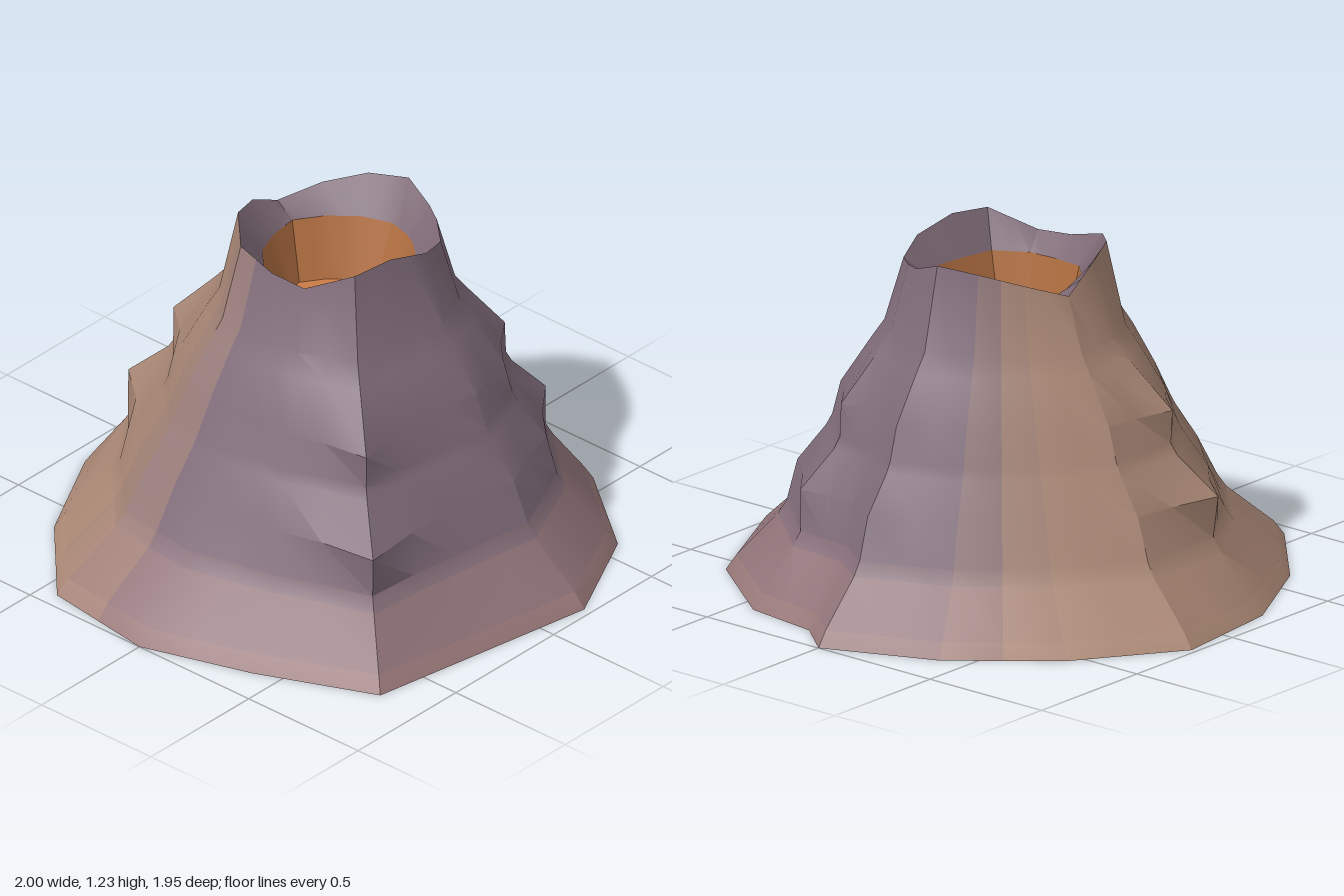
import * as THREE from 'three';
import { toCreasedNormals } from 'three/addons/utils/BufferGeometryUtils.js';

const { lerp, smoothstep } = THREE.MathUtils;

// Main ridge lines: base x, z; rim x, z, y; ledge strength 0..1
const RIDGES = [
  [1.0, 0.0, 0.40, -0.02, 1.225, 0.3],
  [0.88, 0.145, 0.37, 0.10, 1.18, 0.3],
  [0.84, 0.43, 0.33, 0.17, 1.17, 0.8],
  [0.58, 0.775, 0.25, 0.26, 1.155, 0.35],
  [0.19, 0.97, 0.12, 0.31, 1.19, 0.15],
  [-0.22, 0.90, -0.04, 0.29, 1.23, 0.3],
  [-0.685, 0.82, -0.19, 0.26, 1.22, 0.9],
  [-0.87, 0.40, -0.28, 0.11, 1.15, 0.3],
  [-1.0, 0.0, -0.29, -0.03, 1.16, 0],
  [-0.94, -0.43, -0.28, -0.18, 1.20, 0],
  [-0.62, -0.73, -0.16, -0.30, 1.23, 0.15],
  [-0.24, -0.93, -0.03, -0.35, 1.20, 1],
  [0.19, -0.98, 0.12, -0.37, 1.12, 0.2],
  [0.555, -0.73, 0.25, -0.28, 1.17, 0],
  [0.83, -0.40, 0.35, -0.16, 1.21, 0.1],
];
// A weaker column halfway between neighbours keeps the ledges local to the ridges
const COLUMNS = RIDGES.flatMap((ridge, i) => {
  const next = RIDGES[(i + 1) % RIDGES.length];
  const middle = ridge.map((v, k) => (v + next[k]) / 2);
  middle[5] *= 0.8;
  return [ridge, middle];
});
// Slope profile: height, inward fraction when smooth, inward fraction when ledged
const PROFILE = [
  [0, 0, 0], [0.055, 0.06, 0.06], [0.21, 0.32, 0.24], [0.26, 0.37, 0.29],
  [0.41, 0.48, 0.26], [0.54, 0.60, 0.50], [0.58, 0.63, 0.54], [0.70, 0.71, 0.53],
  [0.86, 0.835, 0.78], [0.93, 0.90, 0.88],
];
const N = COLUMNS.length;

function slopePoint([bx, bz, rx, rz, rimY, ledge], row) {
  if (row === PROFILE.length) return [rx, rimY, rz];
  const [y, smooth, ledged] = PROFILE[row];
  const f = lerp(smooth, ledged, ledge);
  return [lerp(bx, rx, f), y, lerp(bz, rz, f)];
}

// Ring inside the crater: the rim shrunk about its centre, then shifted to cx
function craterRing(scale, y, cx) {
  return COLUMNS.map((c) => [cx + (c[2] - 0.05) * scale, y, -0.02 + (c[3] + 0.03) * scale]);
}

// Skin consecutive rings; each quad is six consecutive vertices
function skin(rings) {
  const pos = [];
  for (let j = 0; j < rings.length - 1; j++) {
    for (let i = 0; i < N; i++) {
      const k = (i + 1) % N;
      const a = rings[j][i], b = rings[j][k], d = rings[j + 1][i], c = rings[j + 1][k];
      pos.push(...a, ...d, ...c, ...a, ...c, ...b);
    }
  }
  const geometry = new THREE.BufferGeometry();
  geometry.setAttribute('position', new THREE.Float32BufferAttribute(pos, 3));
  return toCreasedNormals(geometry, 0.5);
}

function part(name, color, geometry) {
  const material = new THREE.MeshStandardMaterial({ color, side: THREE.DoubleSide });
  const mesh = new THREE.Mesh(geometry, material);
  mesh.name = name;
  return mesh;
}

// Rock tone: pinkish foot to purple in front, tan towards the back
function rockTone(row, column) {
  const [x, z] = COLUMNS[column];
  const back = (-0.97 * z - 0.25 * x) / Math.hypot(x, z);
  const tan = Math.round(smoothstep(back, 0.2, 0.75) * 6) / 6;
  const height = Math.min(row * 0.35, 1);
  const front = new THREE.Color(0x9a797a).lerp(new THREE.Color(0x806c7a), height);
  const rear = new THREE.Color(0xb08c78).lerp(new THREE.Color(0xa98775), height);
  return front.lerp(rear, tan).getHex();
}

// Split the slope into one mesh per tone, keeping the shared normals
function paintedSlope(geometry) {
  const slope = new THREE.Group();
  slope.name = 'slope';
  const patches = new Map();
  for (let quad = 0; quad < N * PROFILE.length; quad++) {
    const tone = rockTone(Math.floor(quad / N), quad % N);
    if (!patches.has(tone)) patches.set(tone, { position: [], normal: [] });
    for (const [key, list] of Object.entries(patches.get(tone))) {
      list.push(...geometry.attributes[key].array.slice(quad * 18, quad * 18 + 18));
    }
  }
  for (const [tone, data] of patches) {
    const patch = new THREE.BufferGeometry();
    for (const [key, list] of Object.entries(data)) {
      patch.setAttribute(key, new THREE.Float32BufferAttribute(list, 3));
    }
    slope.add(part('slopeRock', tone, patch));
  }
  return slope;
}

export function createModel() {
  const group = new THREE.Group();
  group.name = 'volcano';

  // Outer mountain
  const slope = [];
  for (let row = 0; row <= PROFILE.length; row++) {
    slope.push(COLUMNS.map((c) => slopePoint(c, row)));
  }
  group.add(paintedSlope(skin(slope)));

  // Crater: rocky lip, glowing wall and lava pool
  const rim = slope[PROFILE.length];
  const lip = craterRing(0.76, 1.09, 0.04);
  const poolEdge = craterRing(0.58, 0.88, 0.02);
  const poolCentre = craterRing(0, 0.86, 0.01);
  group.add(part('craterLip', 0x7c6874, skin([rim, lip])));
  group.add(part('craterWall', 0xb06e40, skin([lip, poolEdge])));
  group.add(part('lavaPool', 0xc87a46, skin([poolEdge, poolCentre])));
  return group;
}
